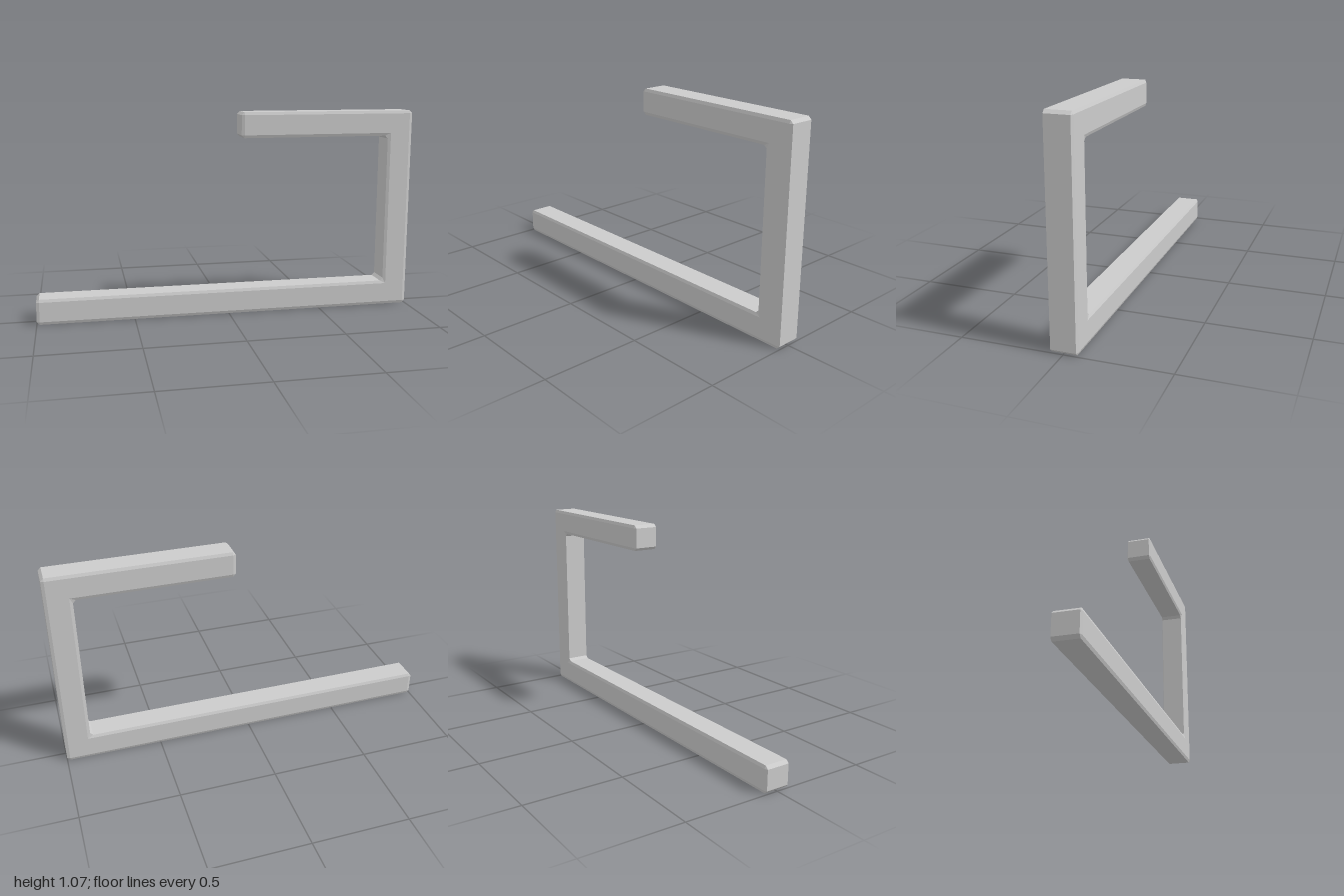
import * as THREE from 'three';

const T = 0.1333;            // bar thickness
const H = 1.0667;            // overall height
const C = 0.015;             // chamfer in the profile plane
const B = 0.006;             // chamfer depth along z

// Hooked centre-line profile, counter-clockwise
const corners = [
  [-1, 0], [1, 0], [1, H], [0.0667, H],
  [0.0667, H - T], [1 - T, H - T], [1 - T, T], [-1, T],
].map(([x, y]) => new THREE.Vector2(x, y));

function chamferedBar() {
  const n = corners.length;
  const face = [], rim = [];
  corners.forEach((p, i) => {
    const d1 = p.clone().sub(corners[(i + n - 1) % n]).normalize();
    const d2 = corners[(i + 1) % n].clone().sub(p).normalize();
    // Sharp inset corner on the flat face, cut corner on the rim
    face.push(new THREE.Vector2(p.x - (d1.y + d2.y) * C, p.y + (d1.x + d2.x) * C));
    rim.push(p.clone().addScaledVector(d1, -C), p.clone().addScaledVector(d2, C));
  });

  const pos = [];
  const tri = (...pts) => pts.forEach(([p, z]) => pos.push(p.x, p.y, z));
  const quad = (a, b, c, d) => { tri(a, b, c); tri(a, c, d); };
  const zf = T / 2, zr = T / 2 - B;
  const caps = THREE.ShapeUtils.triangulateShape(face, []);

  // Front and back: flat face, edge chamfers and corner triangles
  for (const s of [1, -1]) {
    const add = (...pts) => {
      if (s < 0) pts.reverse();
      pts.length === 3 ? tri(...pts) : quad(...pts);
    };
    for (const t of caps) add(...t.map((i) => [face[i], s * zf]));
    for (let i = 0; i < n; i++) {
      const j = (i + 1) % n;
      add([rim[2 * i], s * zr], [rim[2 * i + 1], s * zr], [face[i], s * zf]);
      add([rim[2 * i + 1], s * zr], [rim[2 * j], s * zr], [face[j], s * zf], [face[i], s * zf]);
    }
  }

  // Side walls around the rim
  for (let i = 0; i < rim.length; i++) {
    const a = rim[i], b = rim[(i + 1) % rim.length];
    quad([a, -zr], [b, -zr], [b, zr], [a, zr]);
  }

  const geo = new THREE.BufferGeometry();
  geo.setAttribute('position', new THREE.Float32BufferAttribute(pos, 3));
  geo.computeVertexNormals();
  return geo;
}

export function createModel() {
  const group = new THREE.Group();
  group.name = 'hookedBracket';
  const bar = new THREE.Mesh(
    chamferedBar(),
    new THREE.MeshStandardMaterial({ color: 0xcccccc, flatShading: true }),
  );
  bar.name = 'bentBar';
  group.add(bar);
  return group;
}
